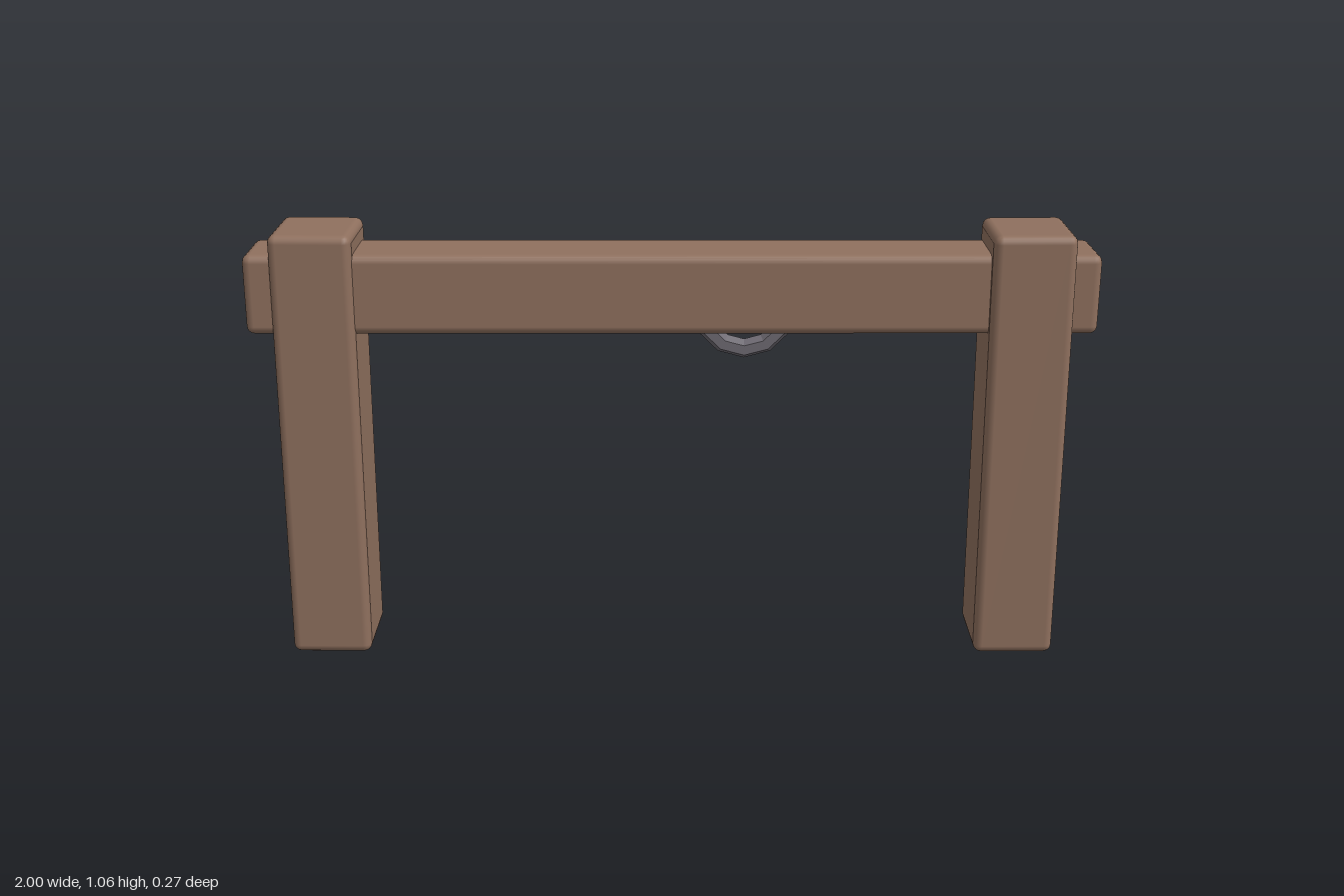
import * as THREE from 'three';
import { RoundedBoxGeometry } from 'three/addons/geometries/RoundedBoxGeometry.js';

export function createModel() {
  const group = new THREE.Group();
  const wood = new THREE.MeshStandardMaterial({ color: 0x8f705e });
  wood.name = 'brown wood';
  const iron = new THREE.MeshStandardMaterial({ color: 0x6e6a72 });
  iron.name = 'grey iron';

  // Softly bevelled timber block
  const timber = (name, w, h, d, x, y, z) => {
    const mesh = new THREE.Mesh(new RoundedBoxGeometry(w, h, d, 2, 0.02), wood);
    mesh.name = name;
    mesh.position.set(x, y, z);
    group.add(mesh);
    return mesh;
  };

  // Two posts leaning very slightly towards each other
  for (const side of [-1, 1]) {
    const post = timber(side > 0 ? 'leftPost' : 'rightPost', 0.193, 1.055, 0.216, side * 0.838, 0.531, 0.025);
    post.rotation.z = side * 0.006;
  }

  // Crossbeam, slightly askew, poking out past both posts
  const beam = timber('crossbeam', 1.994, 0.191, 0.175, 0, 0.912, 0.022);
  beam.rotation.set(0, 0.0095, -0.002);

  // Faceted tether ring behind the beam
  const ringGeometry = new THREE.TorusGeometry(0.105, 0.024, 6, 12).toNonIndexed();
  ringGeometry.computeVertexNormals();
  const ring = new THREE.Mesh(ringGeometry, iron);
  ring.name = 'tetherRing';
  ring.position.set(0.176, 0.822, -0.115);
  group.add(ring);

  return group;
}
